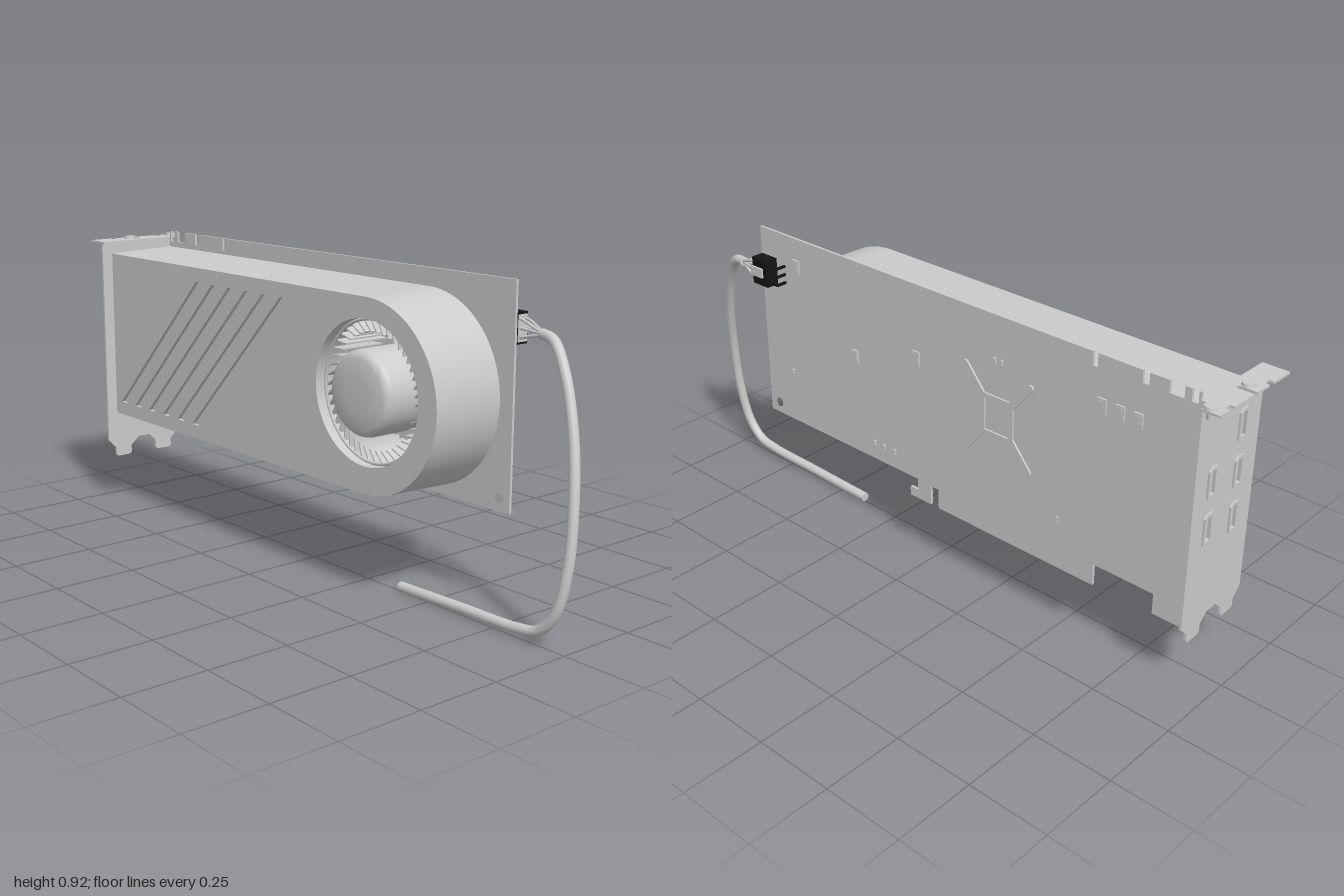
import * as THREE from 'three';
import { toCreasedNormals } from 'three/addons/utils/BufferGeometryUtils.js';

const grey = new THREE.MeshStandardMaterial({ color: 0xcccccc });
const black = new THREE.MeshStandardMaterial({ color: 0x151515 });
const FAN = { z: 0.375, y: 0.595, r: 0.21 };

function polygon(points, Type = THREE.Shape) {
  return new Type(points.map(([a, b]) => new THREE.Vector2(a, b)));
}

function circleHole(x, y, r) {
  return new THREE.Path().absarc(x, y, r, 0, Math.PI * 2, true);
}

function extrude(shape, depth) {
  return new THREE.ExtrudeGeometry(shape, { depth, bevelEnabled: false, curveSegments: 32 });
}

// Extrudes a (z, y) outline from xStart towards -x
function sidePlate(shape, xStart, depth) {
  return extrude(shape, depth).rotateY(-Math.PI / 2).translate(xStart, 0, 0);
}

export function createModel() {
  const model = new THREE.Group();
  const add = (name, geometry, material = grey, parent = model) => {
    const mesh = new THREE.Mesh(geometry, material);
    mesh.name = name;
    parent.add(mesh);
    return mesh;
  };
  const group = (name) => {
    const g = new THREE.Group();
    g.name = name;
    model.add(g);
    return g;
  };
  const box = (name, size, pos, material, parent) =>
    add(name, new THREE.BoxGeometry(...size).translate(...pos), material, parent);

  // Circuit board with edge connector, hook and top notches
  const board = polygon([
    [0.70, 0.92], [0.70, 0.283], [0.035, 0.283], [0.035, 0.245], [0.067, 0.245], [0.067, 0.215],
    [-0.018, 0.215], [-0.018, 0.28], [-0.05, 0.28], [-0.05, 0.215], [-0.63, 0.215], [-0.63, 0.283],
    [-0.83, 0.283], [-0.83, 0.22], [-0.92, 0.22], [-0.92, 0.92], [-0.913, 0.92], [-0.913, 0.885],
    [-0.893, 0.885], [-0.893, 0.92], [-0.872, 0.92], [-0.872, 0.885], [-0.828, 0.885], [-0.828, 0.92],
    [-0.768, 0.92], [-0.768, 0.885], [-0.747, 0.885], [-0.747, 0.92],
    [-0.608, 0.92], [-0.608, 0.88], [-0.592, 0.88], [-0.592, 0.92],
  ]);
  board.holes.push(circleHole(0.66, 0.32, 0.015));
  add('circuitBoard', sidePlate(board, 0.113, 0.008));

  // Shroud: long body with a round end, bored out for the fan
  const shroudOutline = () => {
    const s = new THREE.Shape();
    s.moveTo(-0.918, 0.305);
    s.lineTo(FAN.z, 0.305);
    s.absarc(FAN.z, 0.585, 0.28, -Math.PI / 2, Math.PI / 2, false);
    s.lineTo(-0.918, 0.865);
    s.closePath();
    s.holes.push(circleHole(FAN.z, FAN.y, FAN.r));
    return s;
  };
  // Sides draw in slightly towards the fan face
  const taper = (geo) => {
    const p = geo.attributes.position;
    for (let i = 0; i < p.count; i++) {
      const k = 1 - 0.03 * (0.105 - p.getX(i)) / 0.235;
      p.setY(i, 0.585 + (p.getY(i) - 0.585) * k * 1.01);
    }
    return toCreasedNormals(geo, 0.5);
  };
  add('shroudBody', taper(sidePlate(shroudOutline(), 0.104, 0.222)));
  const face = shroudOutline();
  for (let i = 0; i < 6; i++) {
    const z = -0.885 + i * 0.085;
    face.holes.push(polygon([[z, 0.35], [z + 0.46, 0.82], [z + 0.495, 0.82], [z + 0.035, 0.35]], THREE.Path));
  }
  add('shroudGroovedFace', taper(sidePlate(face, -0.118, 0.012)));

  // Blower fan: local +y points out of the opening
  const fan = group('fan');
  fan.position.set(0, FAN.y, FAN.z);
  fan.rotation.z = Math.PI / 2;
  const profile = [[0.208, -0.06], [0.208, -0.05], [0.122, -0.05], [0.122, 0.128], [0.119, 0.142],
    [0.112, 0.152], [0.1, 0.157], [0.05, 0.16], [0, 0.161]].map(([r, y]) => new THREE.Vector2(r, y));
  add('fanHub', toCreasedNormals(new THREE.LatheGeometry(profile, 48), 0.6), grey, fan);
  const blade = new THREE.BoxGeometry(0.045, 0.15, 0.004).rotateY(0.6).translate(0.182, 0.025, 0);
  for (let i = 0; i < 44; i++) {
    add('fanBlade', blade, grey, fan).rotation.y = (i / 44) * Math.PI * 2;
  }
  add('fanRing', new THREE.TorusGeometry(0.201, 0.005, 6, 48).rotateX(Math.PI / 2).translate(0, 0.1, 0), grey, fan);

  // Rear bracket with display port slots
  const bracket = group('rearBracket');
  const plate = polygon([
    [-0.165, 0.215], [-0.136, 0.185], [-0.136, 0.162], [-0.13, 0.155], [-0.081, 0.155], [-0.075, 0.162],
    [-0.075, 0.185], [-0.045, 0.213], [-0.003, 0.213], [0.025, 0.187], [0.025, 0.162], [0.031, 0.155],
    [0.082, 0.155], [0.088, 0.162], [0.088, 0.185], [0.117, 0.213], [0.117, 0.9], [-0.157, 0.9], [-0.165, 0.875],
  ]);
  const ports = [[-0.08, 0.76], [-0.08, 0.62], [-0.08, 0.48], [0.042, 0.64], [0.042, 0.5]];
  const portOutline = (x, y, w, h, Type) => polygon([
    [x - w, y - h], [x + w, y - h], [x + w, y + h * 0.8], [x + w * 0.4, y + h], [x - w, y + h]], Type);
  for (const [x, y] of ports) {
    plate.holes.push(portOutline(x, y, 0.015, 0.042, THREE.Path));
    const rim = portOutline(x, y, 0.018, 0.045);
    rim.holes.push(portOutline(x, y, 0.011, 0.036, THREE.Path));
    add('portRim', extrude(rim, 0.03).translate(0, 0, -0.934), grey, bracket);
    box('portTongue', [0.008, 0.055, 0.022], [x, y, -0.917], grey, bracket);
  }
  add('bracketPlate', extrude(plate, 0.008).translate(0, 0, -0.928), grey, bracket);

  // Folded top flange, drawn as (x, -z), with its screws
  const flange = polygon([
    [-0.16, 0.92], [0.117, 0.92], [0.117, 0.945], [0.153, 0.945], [0.153, 1], [0.112, 1], [0.112, 0.985],
    [0.09, 0.985], [0.09, 1], [0.005, 1], [0.005, 0.945], [-0.01, 0.945], [-0.01, 1],
    [-0.065, 1], [-0.065, 0.985], [-0.085, 0.985], [-0.085, 1], [-0.16, 1],
  ]);
  add('bracketFlange', extrude(flange, 0.007).rotateX(-Math.PI / 2).translate(0, 0.893, 0), grey, bracket);
  for (const [x, shank] of [[-0.03, 0.012], [0.135, 0.028]]) {
    add('screwHead', new THREE.CylinderGeometry(0.017, 0.019, 0.009, 20).translate(x, 0.904, -0.962), grey, bracket);
    add('screwShank', new THREE.CylinderGeometry(0.01, 0.01, shank, 16).translate(x, 0.9 - shank / 2, -0.962), grey, bracket);
  }

  // Cooler retention frame: rectangle with four diagonal arms
  const retention = group('retentionFrame');
  const c = { z: -0.275, y: 0.61 };
  const frame = polygon([[-0.06, -0.065], [0.06, -0.065], [0.06, 0.065], [-0.06, 0.065]]);
  frame.holes.push(polygon([[-0.044, -0.05], [0.044, -0.05], [0.044, 0.05], [-0.044, 0.05]], THREE.Path));
  add('frame', sidePlate(frame, 0.119, 0.006).translate(0, c.y, c.z), grey, retention);
  for (const sz of [-1, 1]) {
    for (const sy of [-1, 1]) {
      const arm = add('arm', new THREE.BoxGeometry(0.006, 0.022, 0.1), grey, retention);
      arm.position.set(0.116, c.y + sy * 0.094, c.z + sz * 0.085);
      arm.rotation.x = -sz * sy * 0.87;
      const tip = new THREE.CylinderGeometry(0.011, 0.011, 0.006, 16).rotateZ(Math.PI / 2);
      add('armTip', tip.translate(0.116, c.y + sy * 0.132, c.z + sz * 0.117), grey, retention);
    }
  }

  // Small components on the back of the board
  const parts = group('boardComponents');
  for (const [z, y] of [[0.54, 0.83], [0.29, 0.61], [0.035, 0.69], [-0.63, 0.777], [-0.688, 0.777], [-0.745, 0.777]]) {
    box('chip', [0.008, 0.044, 0.028], [0.115, y, z], grey, parts);
    box('chipTop', [0.003, 0.032, 0.018], [0.119, y, z], grey, parts);
  }
  for (const [z, y] of [[0.58, 0.46], [0.215, 0.34], [0.175, 0.34], [0.13, 0.34], [-0.265, 0.785], [-0.29, 0.785], [-0.5, 0.375]]) {
    box('capacitor', [0.008, 0.016, 0.008], [0.115, y, z], grey, parts);
  }

  // Power connector with latch and pins
  const plug = group('powerConnector');
  box('housing', [0.042, 0.086, 0.066], [0.134, 0.789, 0.665], black, plug);
  box('housingFace', [0.034, 0.074, 0.004], [0.135, 0.789, 0.698], grey, plug);
  box('latch', [0.008, 0.03, 0.05], [0.158, 0.789, 0.675], grey, plug);
  for (const y of [0.762, 0.789, 0.816]) {
    box('pin', [0.006, 0.008, 0.042], [0.145, y, 0.613], black, plug);
    box('pinLeg', [0.035, 0.008, 0.006], [0.13, y, 0.595], black, plug);
  }

  // Cable sleeve and the wires fanning out into the connector
  const tube = (name, pts, r, seg, sides) => {
    const curve = new THREE.CatmullRomCurve3(pts.map((p) => new THREE.Vector3(...p)));
    add(name, new THREE.TubeGeometry(curve, seg, r, sides), grey);
    for (const t of [0, 1]) {
      const cap = add(name + 'End', new THREE.CircleGeometry(r, sides));
      cap.position.copy(curve.getPoint(t));
      cap.lookAt(cap.position.clone().addScaledVector(curve.getTangent(t), t ? 1 : -1));
    }
  };
  tube('cable', [
    [0.125, 0.785, 0.775], [0.115, 0.775, 0.825], [0.094, 0.7, 0.885], [0.065, 0.55, 0.945], [0.035, 0.38, 0.98],
    [0.016, 0.22, 0.985], [0.005, 0.1, 0.96], [0.001, 0.042, 0.91], [0, 0.027, 0.84], [0, 0.022, 0.65], [0, 0.0155, 0.39],
  ], 0.0148, 120, 16);
  for (const x of [0.125, 0.145]) {
    for (const dy of [-0.027, 0, 0.027]) {
      tube('wire', [[x, 0.789 + dy, 0.69], [x, 0.789 + dy * 0.8, 0.715],
        [0.128 + (x - 0.135) * 0.5, 0.786 + dy * 0.3, 0.76], [0.122, 0.783 + dy * 0.15, 0.795]], 0.0045, 16, 8);
    }
  }
  return model;
}
